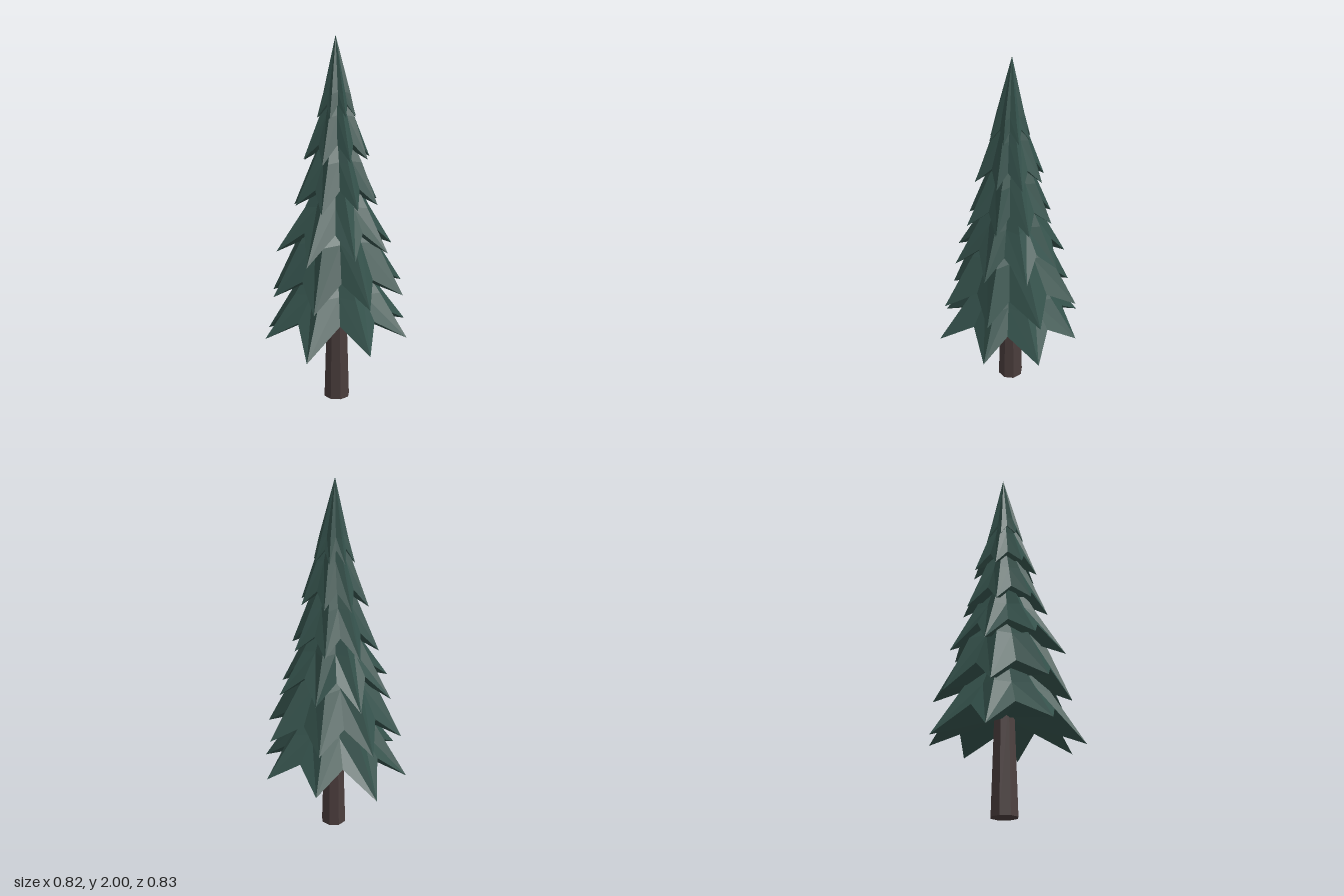
import * as THREE from 'three';

const foliage = new THREE.MeshStandardMaterial({ color: 0x34514b });
foliage.name = 'foliage green';
const bark = new THREE.MeshStandardMaterial({ color: 0x4a3d3c });
bark.name = 'bark brown';

// Branch tips of the lowest tier [x, z, y] and the valleys that follow them [x, z]
const TIPS = [
  [0.41, 0.12, 0.40], [0.21, 0.345, 0.39], [-0.12, 0.415, 0.385], [-0.37, 0.205, 0.345],
  [-0.41, -0.11, 0.40], [-0.21, -0.365, 0.35], [0.112, -0.418, 0.35], [0.352, -0.198, 0.39],
];
const VALLEYS = [
  [0.212, 0.182], [0.03, 0.28], [-0.162, 0.222], [-0.30, 0.04],
  [-0.23, -0.175], [-0.04, -0.29], [0.183, -0.236], [0.30, -0.03],
];

// Each tier: size against the lowest one, tip height, valley rise, shoulder radius and height,
// apex height, twist, and the relative length of each branch
const even = [1, 0.98, 1.01, 0.99, 1, 1.02, 0.98, 1];
const TIERS = [
  { size: 1, tipY: 0.374, rise: 0.13, midR: 0.25, midY: 0.63, apexY: 1.00, twist: 0, lengths: Array(8).fill(1) },
  { size: 0.918, tipY: 0.61, rise: 0.12, midR: 0.225, midY: 0.91, apexY: 1.25, twist: -0.035,
    lengths: [1.04, 1.01, 1, 0.92, 0.97, 0.99, 0.94, 1.05] },
  { size: 0.753, tipY: 0.85, rise: 0.13, midR: 0.18, midY: 1.10, apexY: 1.45, twist: 0.1,
    lengths: [1, 0.99, 0.96, 1.07, 1.07, 1.03, 0.98, 0.94] },
  { size: 0.575, tipY: 1.105, rise: 0.10, midR: 0.14, midY: 1.34, apexY: 1.65, twist: -0.04, lengths: even },
  { size: 0.445, tipY: 1.35, rise: 0.09, midR: 0.10, midY: 1.58, apexY: 1.85, twist: 0.04, lengths: even },
  { size: 0.262, tipY: 1.575, rise: 0.07, midR: 0.076, midY: 1.70, apexY: 2.00, twist: -0.03, lengths: even },
];

const polar = (r, a, y) => new THREE.Vector3(r * Math.cos(a), y, r * Math.sin(a));

// Star-shaped skirt: drooping tips and valleys, a shoulder ring, an apex and a closed underside
function branchTier({ size, tipY, rise, midR, midY, apexY, twist, lengths }) {
  const rim = [], shoulder = [];
  TIPS.forEach(([x, z, y], i) => {
    const [vx, vz] = VALLEYS[i];
    const tipAngle = Math.atan2(z, x) + twist;
    const valleyAngle = Math.atan2(vz, vx) + twist;
    rim.push(polar(Math.hypot(x, z) * size * lengths[i], tipAngle, tipY + (y - 0.374) * size));
    rim.push(polar(Math.hypot(vx, vz) * size, valleyAngle, tipY + rise));
    shoulder.push(polar(midR, tipAngle, midY));
    shoulder.push(polar(midR * 0.78, valleyAngle, midY + 0.01));
  });
  const apex = new THREE.Vector3(0, apexY, -0.01);
  const under = new THREE.Vector3(0, tipY + rise + 0.01, 0);
  const points = [];
  for (let i = 0; i < rim.length; i++) {
    const j = (i + 1) % rim.length;
    // Split each panel from the tip so the ridge stays crisp
    if (i % 2) points.push(rim[i], shoulder[i], rim[j], shoulder[i], shoulder[j], rim[j]);
    else points.push(rim[i], shoulder[i], shoulder[j], rim[i], shoulder[j], rim[j]);
    points.push(shoulder[i], apex, shoulder[j]);
    points.push(under, rim[i], rim[j]);
  }
  const geometry = new THREE.BufferGeometry().setFromPoints(points);
  geometry.computeVertexNormals();
  return geometry;
}

export function createModel() {
  const tree = new THREE.Group();
  tree.name = 'pineTree';

  // Tapered eight-sided trunk
  const trunkGeometry = new THREE.CylinderGeometry(0.054, 0.073, 0.6, 8).rotateY(Math.PI / 8).toNonIndexed();
  trunkGeometry.computeVertexNormals();
  const trunk = new THREE.Mesh(trunkGeometry, bark);
  trunk.name = 'trunk';
  trunk.position.y = 0.3;
  tree.add(trunk);

  // Stacked branch tiers, widest at the bottom
  TIERS.forEach((tier, level) => {
    const mesh = new THREE.Mesh(branchTier(tier), foliage);
    mesh.name = `branchTier${level + 1}`;
    tree.add(mesh);
  });
  return tree;
}
